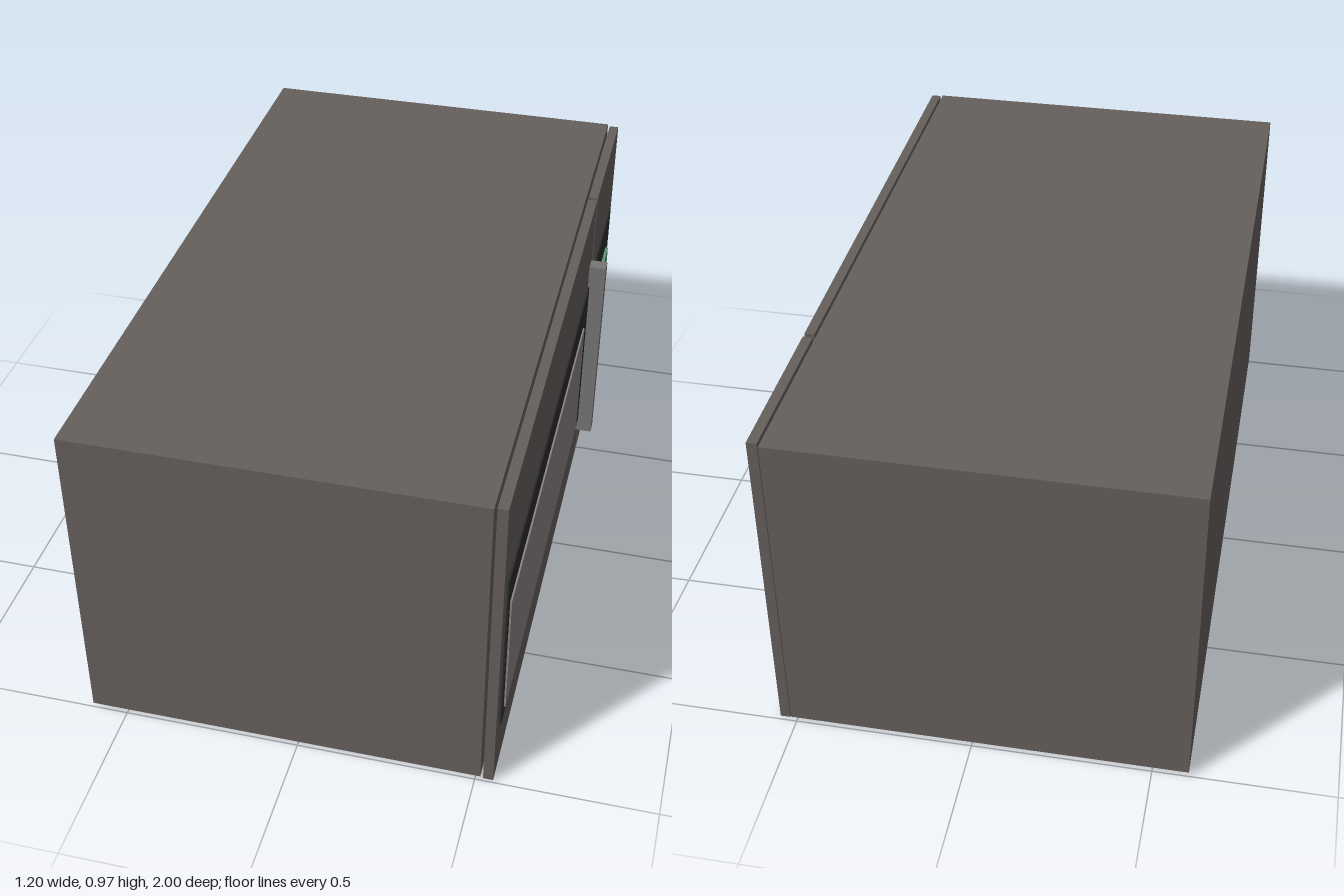
import * as THREE from 'three';

const paint = (color) => new THREE.MeshStandardMaterial({ color });

export function createModel() {
  const model = new THREE.Group();
  const casing = paint(0x66605d), trim = paint(0x2a2c2b), windowTint = paint(0x8c8283);
  const metal = paint(0x777777), displayGreen = paint(0x5f9478);

  // Box given by its limits on each axis
  function block(name, material, [x0, x1], [y0, y1], [z0, z1]) {
    const mesh = new THREE.Mesh(new THREE.BoxGeometry(x1 - x0, y1 - y0, z1 - z0), material);
    mesh.position.set((x0 + x1) / 2, (y0 + y1) / 2, (z0 + z1) / 2);
    mesh.name = name;
    model.add(mesh);
  }

  // Oven housing, door side facing +x
  block('housing', casing, [-0.6, 0.515], [0.015, 0.965], [-1, 1]);

  // Door and control panel, separated by narrow gaps
  block('door', casing, [0.522, 0.55], [0.004, 0.965], [-0.495, 0.995]);
  block('controlPanel', casing, [0.522, 0.55], [0, 0.965], [-0.988, -0.51]);
  block('panelMount', trim, [0.514, 0.523], [0.53, 0.63], [-0.88, -0.58]);

  // Dark glass surrounds
  block('doorGlass', trim, [0.545, 0.555], [0.172, 0.69], [-0.475, 0.945]);
  block('controlGlass', trim, [0.545, 0.555], [0.172, 0.69], [-0.935, -0.485]);

  // Window, display and keypad
  block('window', windowTint, [0.55, 0.56], [0.21, 0.595], [-0.345, 0.915]);
  block('display', displayGreen, [0.55, 0.564], [0.503, 0.577], [-0.865, -0.575]);
  block('keypad', metal, [0.55, 0.564], [0.21, 0.492], [-0.865, -0.575]);

  // Vertical door handle
  block('handle', metal, [0.55, 0.6], [0.125, 0.762], [-0.477, -0.435]);

  return model;
}
